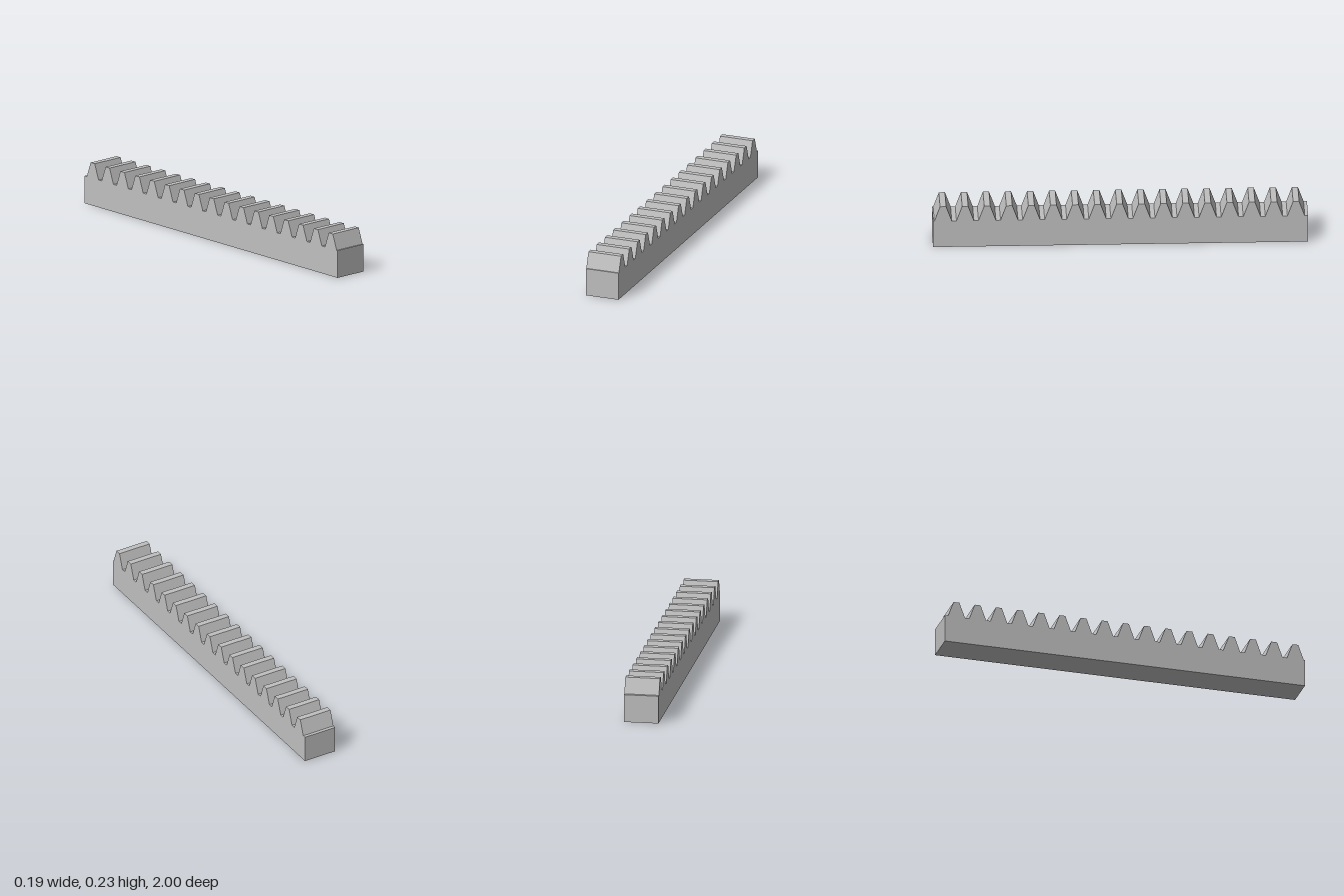
import * as THREE from 'three';

const LENGTH = 2, WIDTH = 0.187, TEETH = 17;
const ROOT = 0.151, TIP = 0.235;          // heights of tooth gaps and tooth tips
const ROOT_HALF = 0.0465, TIP_HALF = 0.016; // half thickness of a tooth
const PITCH = LENGTH / TEETH, OFFSET = 0.0055;

export function createModel() {
  const steel = new THREE.MeshStandardMaterial({ color: 0xbfbfbf });
  steel.name = 'steel grey';

  // Side profile: a straight bar with trapezoid teeth along the top
  const profile = new THREE.Shape();
  profile.moveTo(-LENGTH / 2, 0);
  profile.lineTo(LENGTH / 2, 0);
  profile.lineTo(LENGTH / 2, ROOT);
  for (let i = TEETH - 1; i >= 0; i--) {
    const c = (i - (TEETH - 1) / 2) * PITCH + OFFSET;
    profile.lineTo(c + ROOT_HALF, ROOT);
    profile.lineTo(c + TIP_HALF, TIP);
    profile.lineTo(c - TIP_HALF, TIP);
    profile.lineTo(c - ROOT_HALF, ROOT);
  }
  profile.lineTo(-LENGTH / 2, ROOT);
  profile.closePath();

  // Extrude across the width and turn the bar to run along z
  const geometry = new THREE.ExtrudeGeometry(profile, { depth: WIDTH, bevelEnabled: false });
  geometry.translate(0, 0, -WIDTH / 2);
  geometry.rotateY(-Math.PI / 2);

  const rack = new THREE.Mesh(geometry, steel);
  rack.name = 'gearRack';
  const group = new THREE.Group();
  group.name = 'toothedRack';
  group.add(rack);
  return group;
}
